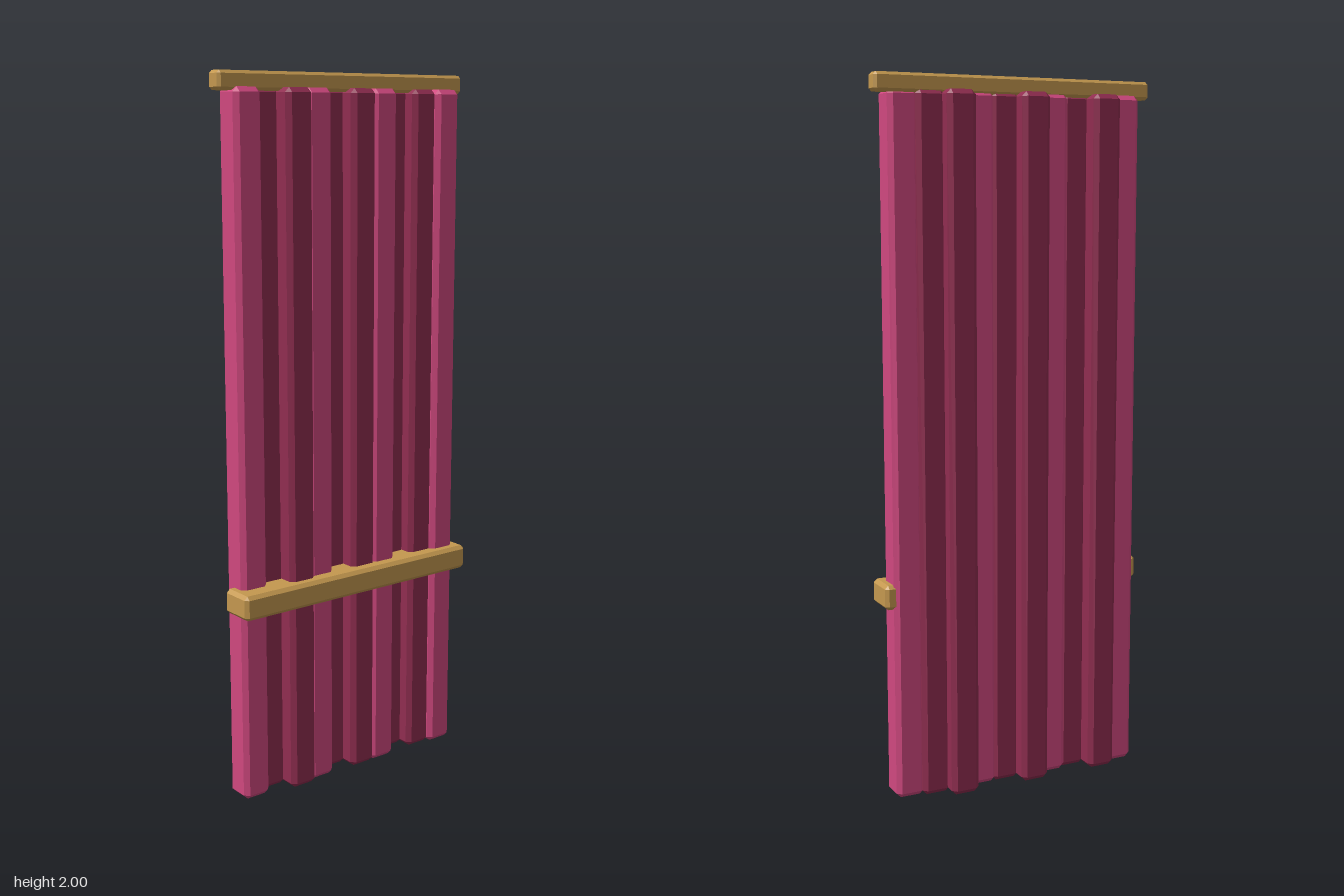
import * as THREE from 'three';
import { ConvexGeometry } from 'three/addons/geometries/ConvexGeometry.js';

const material = (name, color) => {
  const m = new THREE.MeshStandardMaterial({ color });
  m.name = name;
  return m;
};

// Box with every edge cut flat by c: 24 corner points wrapped in a hull
function chamferedBox(w, h, d, c) {
  const points = [];
  for (const x of [-1, 1]) for (const y of [-1, 1]) for (const z of [-1, 1]) {
    const X = w / 2, Y = h / 2, Z = d / 2;
    points.push(
      new THREE.Vector3(x * X, y * (Y - c), z * (Z - c)),
      new THREE.Vector3(x * (X - c), y * Y, z * (Z - c)),
      new THREE.Vector3(x * (X - c), y * (Y - c), z * Z)
    );
  }
  return new ConvexGeometry(points);
}

export function createModel() {
  const group = new THREE.Group();
  group.name = 'curtain';
  const pink = material('pink cloth', 0xd0487f);
  const wine = material('wine cloth', 0x902d50);
  const gold = material('gold', 0xc4984f);

  const add = (name, geometry, mat, x, y, z) => {
    const mesh = new THREE.Mesh(geometry, mat);
    mesh.name = name;
    mesh.position.set(x, y, z);
    group.add(mesh);
  };

  // Folds of cloth, staggered in depth, every third one lighter
  const fold = chamferedBox(0.084, 1.955, 0.083, 0.013);
  const depths = [-0.014, -0.041, 0.009, -0.004, -0.043, 0.002, 0.002, -0.043, -0.004, 0.009];
  depths.forEach((z, i) => {
    add(`fold${i + 1}`, fold, i % 3 === 0 ? pink : wine, -0.332 + i * 0.0737, 0.9825, z);
  });

  // Rail along the top and tie band across the front
  add('topRail', chamferedBox(0.828, 0.05, 0.05, 0.008), gold, 0, 1.975, -0.013);
  add('tieBand', chamferedBox(0.797, 0.07, 0.105, 0.01), gold, -0.001, 0.59, 0.028);

  return group;
}
